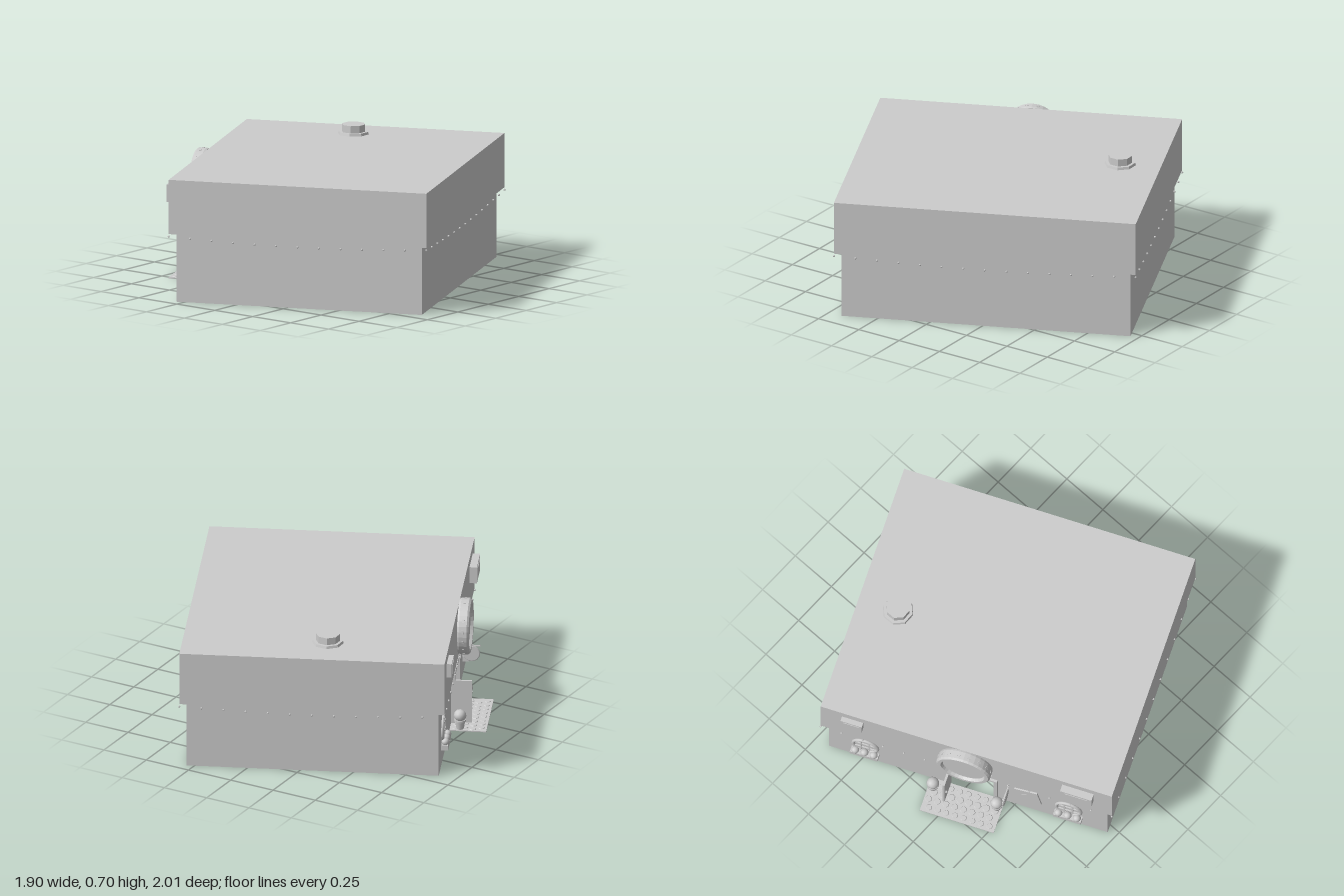
import * as THREE from 'three';

export function createModel() {
  const root = new THREE.Group();
  root.name = 'shopBuilding';
  const b = new THREE.Group();
  b.name = 'building';
  b.rotation.y = THREE.MathUtils.degToRad(-66); // shop front faces local +z
  root.add(b);

  const plaster = new THREE.MeshStandardMaterial({ color: 0xcccccc, side: THREE.DoubleSide });
  plaster.name = 'plaster grey';

  const add = (name, geo, x = 0, y = 0, z = 0, parent = b) => {
    const m = new THREE.Mesh(geo, plaster);
    m.name = name;
    m.position.set(x, y, z);
    parent.add(m);
    return m;
  };
  const box = (name, w, h, d, x, y, z, parent) => add(name, new THREE.BoxGeometry(w, h, d), x, y, z, parent);
  const flat = (geo) => {
    const g = geo.toNonIndexed();
    g.computeVertexNormals();
    return g;
  };
  const rect = (C, w, h) => {
    const s = new C();
    s.moveTo(-w, -h); s.lineTo(w, -h); s.lineTo(w, h); s.lineTo(-w, h); s.closePath();
    return s;
  };

  const UX = 0.788, UZ = 0.685, LX = 0.755, LZ = 0.652, EAVE = 0.36, TOP = 0.645;

  // Hollow walls, as thin sheets
  const wall = (name, w, y0, y1, x, z, ry) => {
    add(name, new THREE.PlaneGeometry(w, y1 - y0), x, (y0 + y1) / 2, z).rotation.y = ry;
  };
  for (const s of [1, -1]) {
    wall('upperSideWall', UZ * 2, EAVE, TOP, s * UX, 0, s * Math.PI / 2);
    wall('lowerSideWall', LZ * 2, 0, EAVE, s * LX, 0, s * Math.PI / 2);
    wall('upperLongWall', UX * 2, EAVE, TOP, 0, s * UZ, s > 0 ? 0 : Math.PI);
  }
  wall('lowerBackWall', LX * 2, 0, EAVE, 0, -LZ, Math.PI);

  // Shop front with the doorway cut out
  const D0 = -0.095, D1 = 0.145, DH = 0.27;
  const front = new THREE.Shape();
  [[-LX, 0], [D0, 0], [D0, DH], [D1, DH], [D1, 0], [LX, 0], [LX, EAVE], [-LX, EAVE]]
    .forEach(([x, y], i) => (i ? front.lineTo(x, y) : front.moveTo(x, y)));
  add('shopFrontWall', new THREE.ShapeGeometry(front), 0, 0, LZ);

  // Roof and overhang underside
  add('roof', new THREE.PlaneGeometry(UX * 2, UZ * 2), 0, TOP, 0).rotation.x = -Math.PI / 2;
  const ring = rect(THREE.Shape, UX, UZ);
  ring.holes.push(rect(THREE.Path, LX, LZ));
  add('overhang', new THREE.ShapeGeometry(ring), 0, EAVE, 0).rotation.x = Math.PI / 2;

  // Roof vent
  const vent = new THREE.Group();
  vent.name = 'roofVent';
  vent.position.set(-0.575, TOP, 0.062);
  b.add(vent);
  add('ventBase', flat(new THREE.CylinderGeometry(0.078, 0.082, 0.014, 8)), 0, 0.006, 0, vent);
  add('ventCap', flat(new THREE.CylinderGeometry(0.062, 0.062, 0.04, 8)), 0, 0.031, 0, vent);

  // Strings of little lights sagging below the eaves
  const bulb = new THREE.SphereGeometry(0.006, 6, 4);
  const lights = (n, place) => {
    for (let i = 0; i <= n; i++) {
      const t = i / n;
      const [x, z] = place(t * 2 - 1);
      add('stringLight', bulb, x, 0.347 - 0.02 * Math.sin(Math.PI * t), z);
    }
  };
  for (const s of [1, -1]) {
    lights(14, (t) => [t * UX, s * UZ]);
    lights(12, (t) => [s * UX, t * UZ]);
  }

  // Big round sign with raised rim and studs
  const sign = new THREE.Group();
  sign.name = 'roundSign';
  sign.position.set(0, 0.505, UZ);
  b.add(sign);
  const profile = [[0, 0], [0.143, 0], [0.146, 0.01], [0.146, 0.05], [0.138, 0.06], [0.12, 0.06], [0.112, 0.045], [0, 0.045]]
    .map(([r, h]) => new THREE.Vector2(r, h));
  add('signDrum', flat(new THREE.LatheGeometry(profile, 32)), 0, 0, 0, sign).rotation.x = Math.PI / 2;
  for (let i = 0; i < 16; i++) {
    const a = (i + 0.5) / 16 * Math.PI * 2;
    box('signStud', 0.006, 0.018, 0.012, Math.cos(a) * 0.145, Math.sin(a) * 0.145, 0.03, sign).rotation.z = a;
  }

  // Framed boxes on the upper wall
  const wallBox = (x, y, w, h, d) => {
    box('wallBox', w, h, d, x, y, UZ + d / 2);
    box('wallBoxPanel', w * 0.7, h * 0.7, 0.006, x, y, UZ + d);
  };
  wallBox(-0.615, 0.558, 0.115, 0.075, 0.026);
  wallBox(0.605, 0.553, 0.17, 0.09, 0.038);

  // Round windows with glazing bars and flower boxes
  for (const x of [-0.555, 0.545]) {
    const w = new THREE.Group();
    w.name = 'roundWindow';
    w.position.set(x, 0.185, LZ);
    b.add(w);
    add('windowFrame', new THREE.TorusGeometry(0.066, 0.009, 8, 24), 0, 0, 0.005, w);
    add('windowPane', new THREE.CircleGeometry(0.066, 24), 0, 0, 0.004, w);
    for (const o of [-0.022, 0.022]) {
      box('windowBar', 0.007, 0.125, 0.01, o, 0, 0.006, w);
      box('windowBar', 0.125, 0.007, 0.01, 0, o, 0.006, w);
    }
    box('flowerBox', 0.15, 0.028, 0.035, 0, -0.085, 0.018, w);
    for (let i = -1; i <= 1; i++)
      add('flower', new THREE.IcosahedronGeometry(0.021, 1), i * 0.05, -0.06, 0.02, w);
  }

  // Door frame and open door
  const mid = (D0 + D1) / 2;
  for (const x of [D0 - 0.008, D1 + 0.008]) box('doorPost', 0.018, DH, 0.03, x, DH / 2, LZ + 0.006);
  box('doorLintel', D1 - D0 + 0.034, 0.018, 0.03, mid, DH + 0.009, LZ + 0.006);
  box('openDoor', 0.012, 0.235, 0.095, D0 - 0.004, 0.125, LZ + 0.06);
  add('doorKnob', new THREE.SphereGeometry(0.007, 8, 6), D0 + 0.007, 0.12, LZ + 0.092);

  // Paved doorstep
  box('doorstep', 0.4, 0.005, 0.19, 0, 0.0025, 0.747);
  for (let r = 0; r < 4; r++)
    for (let c = 0; c < 8; c++) {
      const size = 0.018 + 0.004 * ((c * 3 + r * 5) % 3) / 2;
      add('cobble', flat(new THREE.CylinderGeometry(size * 0.8, size, 0.005, 7)),
        -0.168 + c * 0.047 + (r % 2 ? 0.008 : -0.008), 0.006, 0.682 + r * 0.044).rotation.y = c + r;
    }

  // Planters beside the door
  for (const x of [-0.174, 0.172]) {
    add('planterPot', new THREE.CylinderGeometry(0.027, 0.02, 0.05, 10), x, 0.03, 0.705);
    add('planterRim', new THREE.CylinderGeometry(0.031, 0.031, 0.01, 10), x, 0.052, 0.705);
    add('shrub', new THREE.IcosahedronGeometry(0.033, 1), x, 0.078, 0.705);
  }

  // Round hanging sign on a bracket
  box('signBracket', 0.006, 0.006, 0.12, 0.225, 0.292, LZ + 0.06);
  add('hangingSign', new THREE.CylinderGeometry(0.04, 0.04, 0.01, 16), 0.225, 0.248, 0.724).rotation.z = Math.PI / 2;
  add('hangingSignRim', new THREE.TorusGeometry(0.04, 0.005, 6, 16), 0.225, 0.248, 0.724).rotation.y = Math.PI / 2;

  // Tilted poster with a small diamond
  const poster = new THREE.Group();
  poster.name = 'poster';
  poster.position.set(0.325, 0.18, LZ + 0.004);
  poster.rotation.z = 0.17;
  b.add(poster);
  box('posterSheet', 0.125, 0.14, 0.008, 0, 0, 0, poster);
  box('posterDiamond', 0.045, 0.045, 0.004, 0, 0.01, 0.005, poster).rotation.z = Math.PI / 4;

  return root;
}
